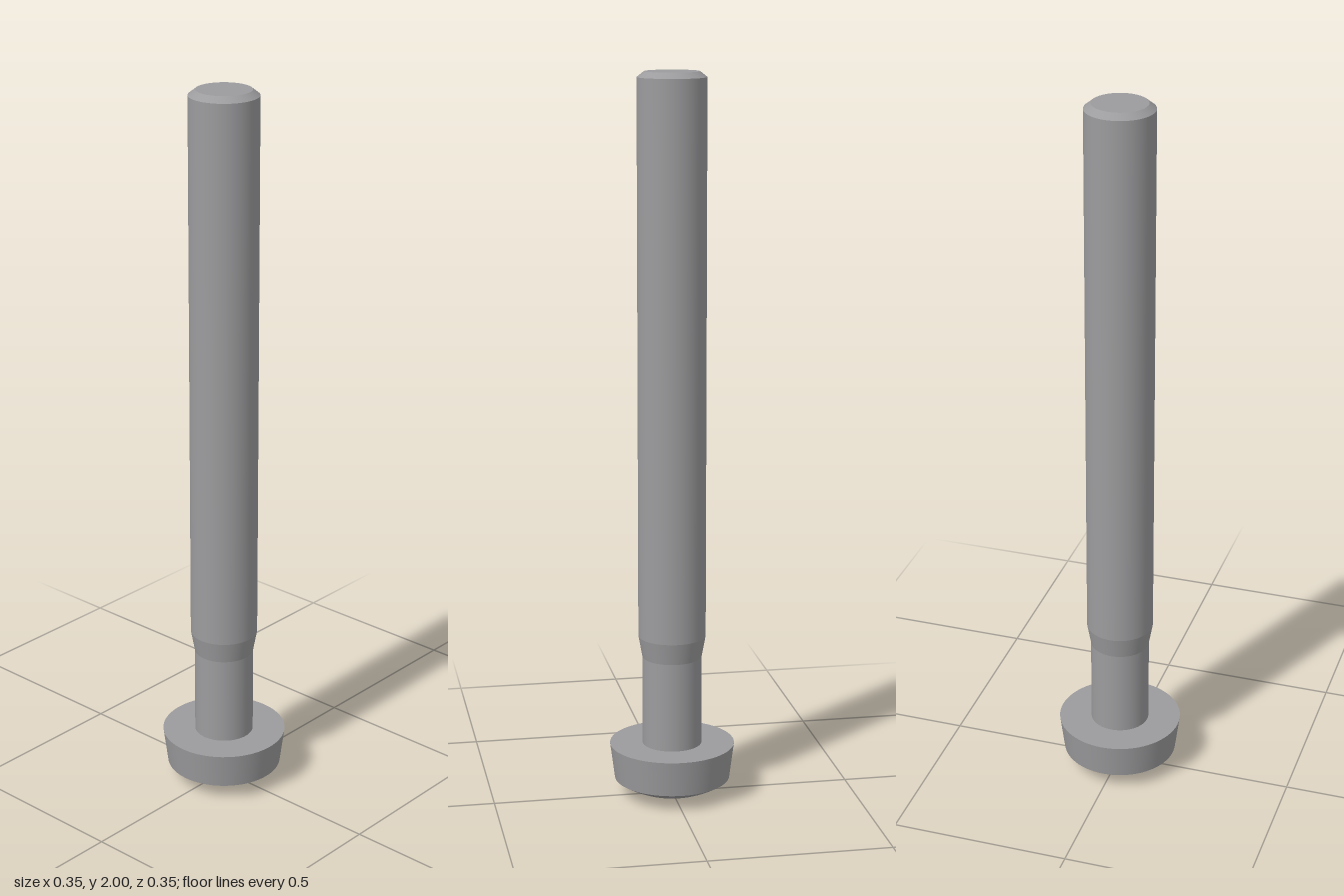
import * as THREE from 'three';

const SEG = 72;          // 5 degree steps, so the cross corners fall on 15 and 45 degrees
const HEAD_R = 0.16;     // radius where the dome meets the head's side
const DOME_H = 0.05;
const ARM = 0.083, HALF_WIDTH = 0.0222;

const domeY = (r) => DOME_H * (r / HEAD_R) ** 2;

// Radius of the cross outline at an angle (arms on the diagonals)
function crossRadius(angle) {
  const q = Math.PI / 2;
  const a = Math.abs(((angle % q) + q) % q - q / 2);
  return Math.min(ARM / Math.cos(a), HALF_WIDTH / Math.max(Math.sin(a), 1e-6));
}

// Lathe whose vertices are placed by rule(t, angle) -> [radius, y]
function ruledLathe(ts, rule) {
  const geo = new THREE.LatheGeometry(ts.map((t) => new THREE.Vector2(t, 0)), SEG);
  const pos = geo.attributes.position;
  for (let v = 0; v < pos.count; v++) {
    const angle = (Math.floor(v / ts.length) % SEG) * Math.PI * 2 / SEG;
    const [r, y] = rule(ts[v % ts.length], angle);
    pos.setXYZ(v, r * Math.sin(angle), y, r * Math.cos(angle));
  }
  return geo;
}

export function createModel() {
  const group = new THREE.Group();
  const steel = new THREE.MeshStandardMaterial({ color: 0x9c9c9e });
  steel.name = 'steel';

  const add = (name, geo) => {
    const mesh = new THREE.Mesh(geo, steel);
    mesh.name = name;
    group.add(mesh);
  };

  // Bands of the turned body, each with its own normals so that edges stay sharp
  const bands = [
    ['headSide', HEAD_R, DOME_H, 0.173, 0.15],
    ['headShoulder', 0.173, 0.15, 0.082, 0.15],
    ['neck', 0.082, 0.15, 0.082, 0.4],
    ['neckTaper', 0.082, 0.4, 0.093, 0.46],
    ['shank', 0.093, 0.46, 0.093, 1.985],
    ['tipChamfer', 0.093, 1.985, 0.074, 2],
    ['tipFace', 0.074, 2, 0, 2],
  ];
  for (const [name, r0, y0, r1, y1] of bands) {
    add(name, new THREE.LatheGeometry([new THREE.Vector2(r0, y0), new THREE.Vector2(r1, y1)], SEG));
  }

  // Domed underside of the head, open where the cross is cut
  const dome = ruledLathe([0, 0.2, 0.4, 0.6, 0.8, 1], (t, angle) => {
    const c = crossRadius(angle);
    const r = c + (HEAD_R - c) * t;
    return [r, domeY(r)];
  });
  const p = dome.attributes.position;
  const k = 2 * DOME_H / HEAD_R ** 2;
  const n = new THREE.Vector3();
  for (let i = 0; i < p.count; i++) {
    n.set(k * p.getX(i), -1, k * p.getZ(i)).normalize();
    dome.attributes.normal.setXYZ(i, n.x, n.y, n.z);
  }
  add('headDome', dome);

  // Tapered cross recess: floor, then walls out to the dome
  const recess = ruledLathe([0, 0.55, 1], (t, angle) => {
    const r = t * crossRadius(angle);
    return [r, t === 1 ? domeY(r) : 0.09];
  }).toNonIndexed();
  recess.computeVertexNormals();
  add('crossRecess', recess);

  return group;
}
